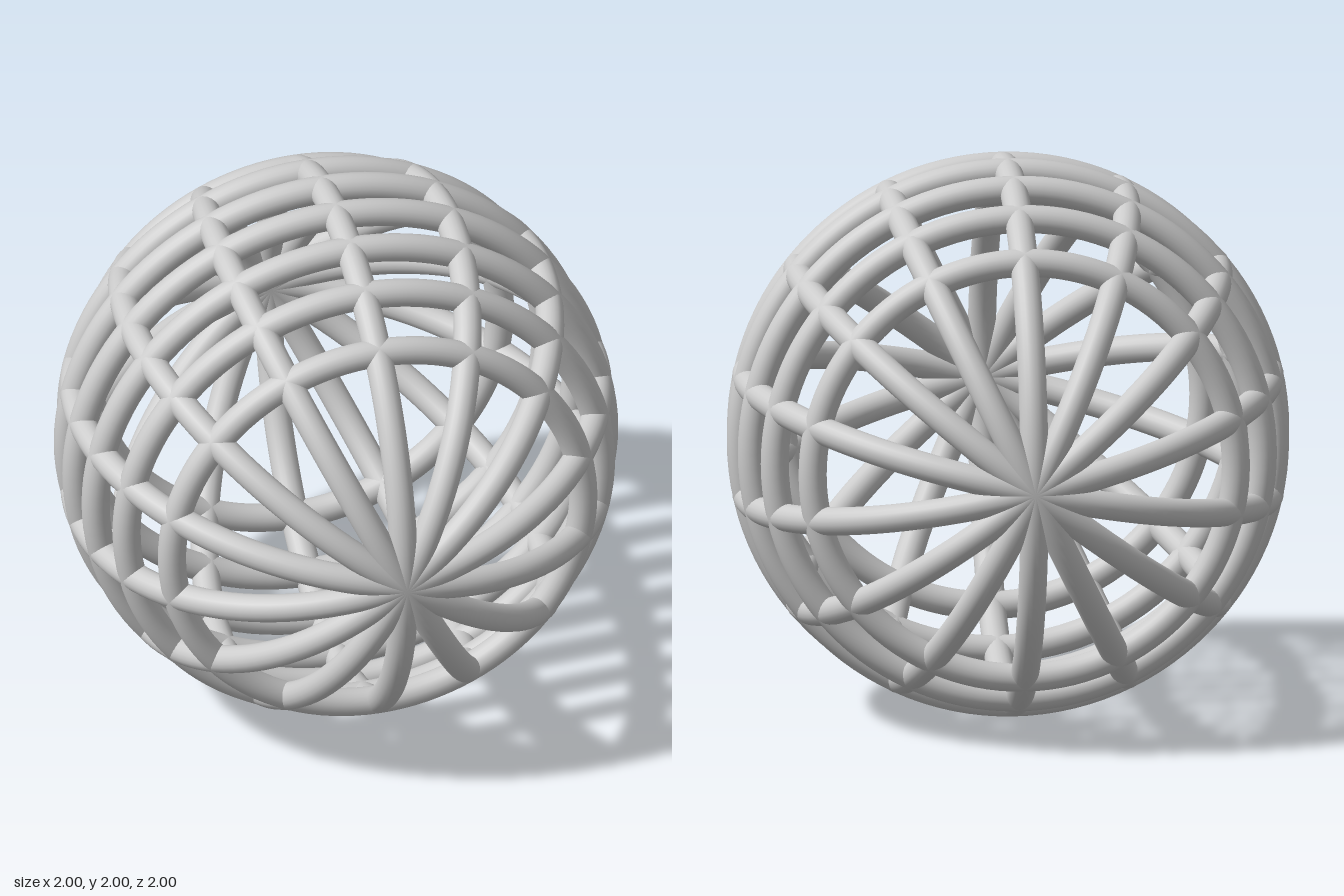
import * as THREE from 'three';

const RADIUS = 0.95; // sphere that the bar centre lines lie on
const BAR = 0.05; // bar thickness radius

export function createModel() {
  const model = new THREE.Group();
  model.name = 'sphereCage';
  const material = new THREE.MeshStandardMaterial({ color: 0xcccccc });

  const cage = new THREE.Group();
  cage.name = 'cage';
  cage.position.y = 1;
  model.add(cage);

  const addRing = (name, radius) => {
    const ring = new THREE.Mesh(new THREE.TorusGeometry(radius, BAR, 20, 112), material);
    ring.name = name;
    cage.add(ring);
    return ring;
  };

  // Seven great circles meeting at the front and back poles
  for (let i = 0; i < 7; i++) {
    const ring = addRing(`meridianRing${i + 1}`, RADIUS);
    ring.rotation.order = 'ZYX'; // stand the ring up, then spin it about the pole axis
    ring.rotation.set(0, Math.PI / 2, (i * Math.PI) / 7);
  }

  // Seven evenly spaced parallel hoops around the middle
  for (let i = -3; i <= 3; i++) {
    const z = i * 0.1933;
    addRing(`parallelRing${i + 4}`, Math.sqrt(RADIUS * RADIUS - z * z)).position.z = z;
  }

  return model;
}
